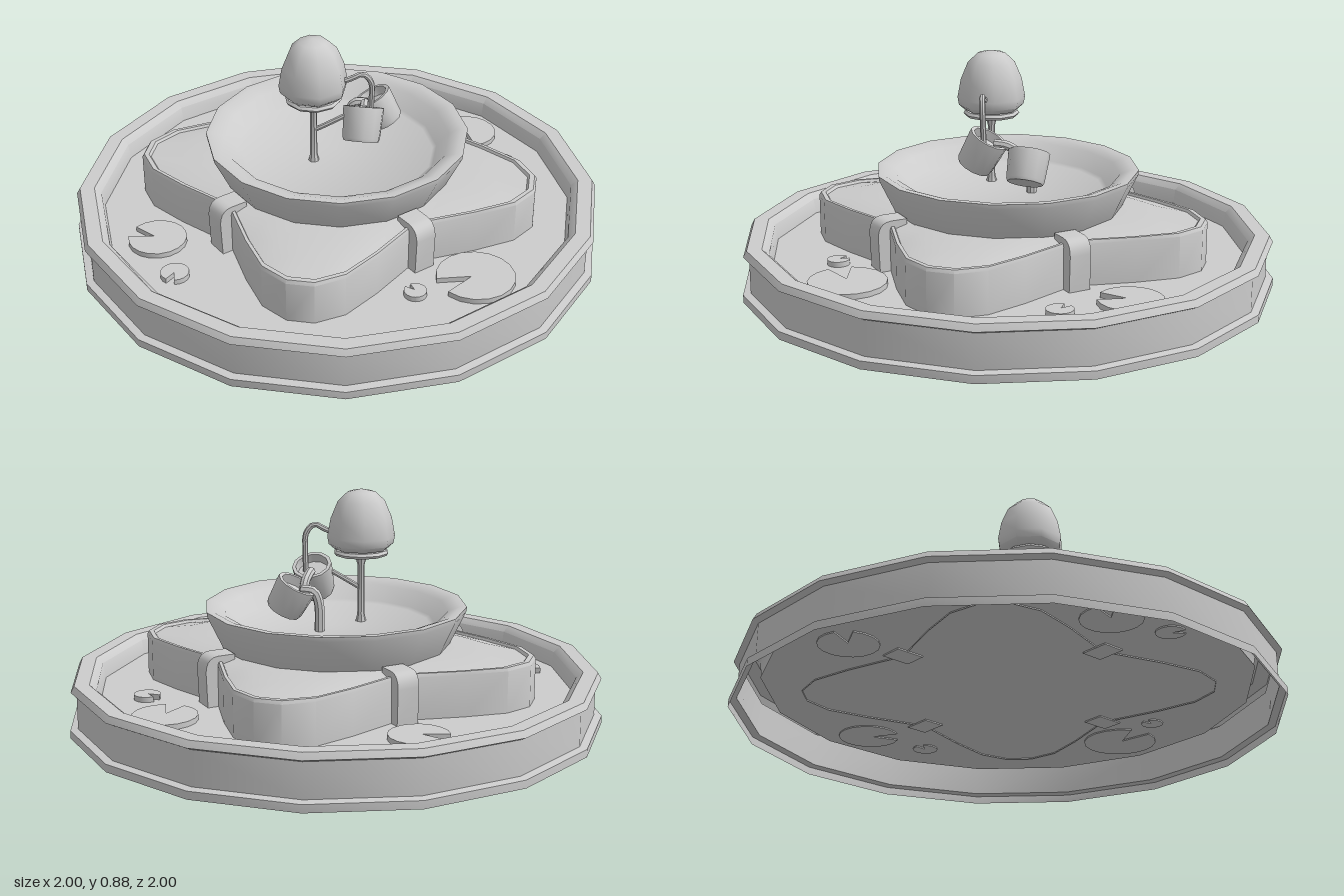
import * as THREE from 'three';
import { toCreasedNormals } from 'three/addons/utils/BufferGeometryUtils.js';

const solid = new THREE.MeshStandardMaterial({ color: 0xcccccc });
const open = new THREE.MeshStandardMaterial({ color: 0xcccccc, side: THREE.DoubleSide });
const WATER = 0.12;

function mesh(name, geometry, material = solid, crease = 0.7) {
  const m = new THREE.Mesh(toCreasedNormals(geometry, crease), material);
  m.name = name;
  return m;
}

// Lathe whose profile radii are measured to the flats of the polygon
function turned(profile, sides) {
  const k = 1 / Math.cos(Math.PI / sides);
  return new THREE.LatheGeometry(profile.map(([r, y]) => new THREE.Vector2(r * k, y)), sides, Math.PI / sides);
}

function tube(name, points, radius) {
  const curve = new THREE.CatmullRomCurve3(points.map(p => new THREE.Vector3(...p)));
  return mesh(name, new THREE.TubeGeometry(curve, 14, radius, 8), open);
}

// Skin of one outline repeated at [scale, height] levels
function layered(outline, levels) {
  const n = outline.length, pos = [], index = [];
  for (const [s, y] of levels) for (const [x, z] of outline) pos.push(x * s, y, z * s);
  for (let j = 0; j < levels.length - 1; j++) {
    for (let i = 0; i < n; i++) {
      const a = j * n + i, b = j * n + (i + 1) % n;
      index.push(a, b, b + n, a, b + n, a + n);
    }
  }
  const g = new THREE.BufferGeometry();
  g.setAttribute('position', new THREE.Float32BufferAttribute(pos, 3));
  g.setIndex(index);
  return g;
}

// Four-lobed outline, one lobe turned four times
function quatrefoil() {
  const lobe = [[-0.24, 0.56], [-0.15, 0.70], [-0.05, 0.765], [0.05, 0.765], [0.15, 0.70], [0.24, 0.56], [0.35, 0.35]];
  const out = [];
  for (let k = 0; k < 4; k++) {
    const c = Math.cos(k * Math.PI / 2), s = Math.sin(k * Math.PI / 2);
    for (const [u, v] of lobe) out.push([u * c + v * s, v * c - u * s]);
  }
  return out;
}

// Notched round leaf; the notch angle runs from +x towards -z
function lilyPad(x, z, r, notchDeg) {
  const a = THREE.MathUtils.degToRad(notchDeg), half = 0.3;
  const shape = new THREE.Shape();
  shape.moveTo(Math.cos(a) * r * 0.12, Math.sin(a) * r * 0.12);
  for (let i = 0; i <= 16; i++) {
    const t = a + half + (i / 16) * (2 * Math.PI - 2 * half);
    shape.lineTo(Math.cos(t) * r, Math.sin(t) * r);
  }
  const g = new THREE.ExtrudeGeometry(shape, { depth: 0.025, bevelEnabled: false });
  g.rotateX(-Math.PI / 2);
  const m = mesh('lilyPad', g);
  m.position.set(x, WATER - 0.005, z);
  return m;
}

// Curved strap in the angle between two lobes
function clasp(angle) {
  const s = new THREE.Shape();
  s.moveTo(0.44, 0.115);
  s.lineTo(0.55, 0.115);
  s.lineTo(0.555, 0.255);
  s.quadraticCurveTo(0.553, 0.31, 0.505, 0.312);
  s.lineTo(0.44, 0.312);
  const g = new THREE.ExtrudeGeometry(s, { depth: 0.085, bevelEnabled: false, curveSegments: 5 });
  g.translate(0, 0, -0.0425);
  const m = mesh('clasp', g);
  m.rotation.y = angle;
  return m;
}

function bucket(name, r, h) {
  const t = h / 2;
  return mesh(name, turned([
    [0, -t], [r * 0.86, -t], [r * 0.92, -t + 0.012], [r, t - 0.012], [r, t],
    [r * 0.82, t], [r * 0.78, t - 0.035], [0, t - 0.035],
  ], 12), open);
}

export function createModel() {
  const model = new THREE.Group();
  model.name = 'fountain';

  // Outer pool
  model.add(mesh('poolWall', turned([
    [1, 0], [1, 0.03], [0.972, 0.035], [0.972, 0.165], [0.993, 0.176],
    [0.98, 0.2], [0.925, 0.2], [0.9, 0.178], [0.89, WATER],
  ], 16), open));
  const water = mesh('poolWater', turned([[0.895, WATER], [0, WATER]], 16), open);
  model.add(water);

  // Four-lobed planter with a raised lip and domed filling
  model.add(mesh('lobedPlanter', layered(quatrefoil(), [
    [1, WATER - 0.005], [1, 0.278], [0.99, 0.29], [0.965, 0.29], [0.955, 0.28], [0.8, 0.3], [0.5, 0.3],
  ]), open, 0.6));
  for (let k = 0; k < 4; k++) model.add(clasp(Math.PI / 4 + k * Math.PI / 2));

  // Upper bowl
  model.add(mesh('upperBowl', turned([
    [0.41, 0.27], [0.43, 0.3], [0.488, 0.425], [0.49, 0.443], [0.465, 0.443],
    [0.42, 0.425], [0.375, 0.37], [0.36, 0.36], [0, 0.36],
  ], 16), open));

  // Lily pads: x, z, radius, notch direction
  for (const pad of [
    [0.455, -0.59, 0.12, 275], [0.62, -0.38, 0.05, 160], [-0.465, -0.525, 0.11, 180],
    [-0.62, 0.38, 0.11, 170], [-0.5, 0.58, 0.053, 265], [0.58, 0.42, 0.145, 215], [0.375, 0.545, 0.042, 140],
  ]) model.add(lilyPad(...pad));

  // Small tree: trunk, collar and egg-shaped crown
  const tree = new THREE.Group();
  tree.name = 'tree';
  tree.position.set(-0.075, 0, 0.088);
  tree.add(mesh('trunk', turned([[0.02, 0.355], [0.013, 0.39], [0.012, 0.58], [0.02, 0.61], [0.085, 0.625]], 8), open));
  tree.add(mesh('collar', turned([[0, 0.622], [0.095, 0.622], [0.102, 0.632], [0.095, 0.642], [0, 0.642]], 10)));
  tree.add(mesh('crown', turned([
    [0, 0.645], [0.095, 0.646], [0.115, 0.665], [0.12, 0.695], [0.108, 0.765],
    [0.083, 0.83], [0.05, 0.864], [0, 0.876],
  ], 8), solid, 0.9));
  model.add(tree);

  // Pipe from the crown and branch holding the first bucket
  model.add(tube('spout', [
    [0.02, 0.7, 0.08], [0.065, 0.715, 0.073], [0.105, 0.733, 0.065], [0.135, 0.7, 0.055], [0.138, 0.63, 0.052], [0.135, 0.55, 0.05],
  ], 0.011));
  model.add(tube('branch', [[-0.075, 0.49, 0.088], [-0.03, 0.515, 0.083], [0.05, 0.56, 0.07]], 0.01));

  // Tilted buckets pouring one into the other
  const upper = bucket('upperBucket', 0.074, 0.13);
  upper.position.set(0.107, 0.523, 0.068);
  upper.rotation.x = -0.5;
  const lower = bucket('lowerBucket', 0.075, 0.12);
  lower.position.set(0.14, 0.487, -0.12);
  lower.rotation.z = 0.5;
  model.add(upper, lower);

  // Poured streams
  model.add(tube('upperStream', [[0.105, 0.558, 0.02], [0.1, 0.553, -0.03], [0.1, 0.535, -0.065], [0.1, 0.5, -0.085]], 0.018));
  model.add(tube('lowerStream', [[0.1, 0.515, -0.11], [0.05, 0.51, -0.108], [0.033, 0.47, -0.105], [0.03, 0.355, -0.104]], 0.019));

  return model;
}
